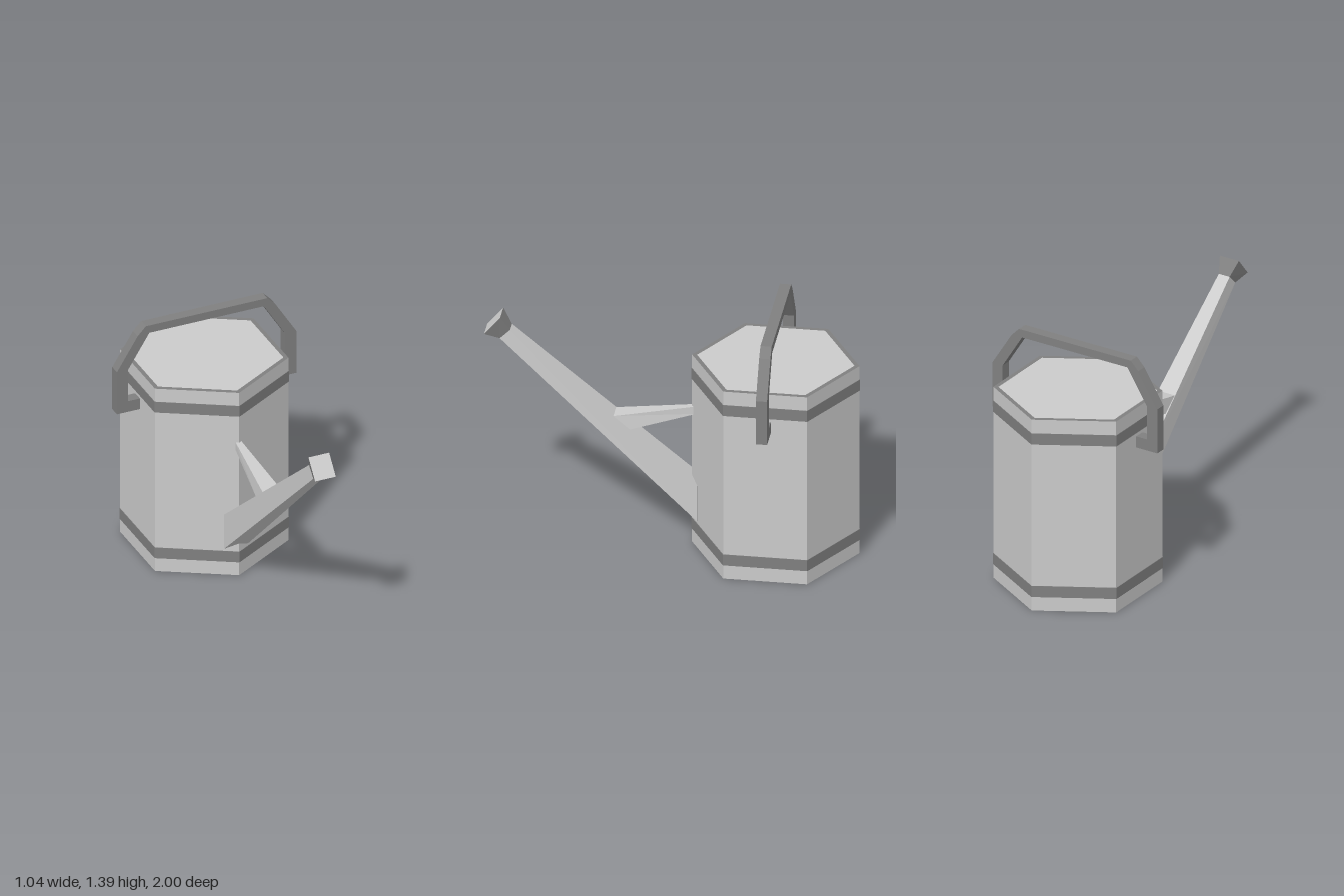
import * as THREE from 'three';

const light = new THREE.MeshStandardMaterial({ color: 0xcccccc, flatShading: true });
const dark = new THREE.MeshStandardMaterial({ color: 0x808080, flatShading: true });

const BODY_Z = -0.55, BODY_R = 0.447, RIM_R = 0.42, HEIGHT = 1.12;

// Hexagonal surface turned from [radius, height] points, with corners on the z axis
function hexLathe(points) {
  return new THREE.LatheGeometry(points.map(([r, y]) => new THREE.Vector2(r, y)), 6);
}

// Four-sided tapered bar between two sections { lo: [z, y], hi: [z, y], w: half width }
function taper(back, front, capFront = true) {
  const corners = ({ lo, hi, w }) => [
    [-w, lo[1], lo[0]], [w, lo[1], lo[0]], [w, hi[1], hi[0]], [-w, hi[1], hi[0]],
  ];
  const positions = [...corners(back), ...corners(front)].flat();
  const index = [0, 2, 1, 0, 3, 2];
  for (let i = 0; i < 4; i++) {
    const j = (i + 1) % 4;
    index.push(i, j, j + 4, i, j + 4, i + 4);
  }
  if (capFront) index.push(4, 5, 6, 4, 6, 7);
  return build(positions, index);
}

function build(positions, index) {
  const indexed = new THREE.BufferGeometry();
  indexed.setAttribute('position', new THREE.Float32BufferAttribute(positions, 3));
  indexed.setIndex(index);
  const g = indexed.toNonIndexed();
  g.computeVertexNormals();
  return g;
}

export function createModel() {
  const model = new THREE.Group();
  model.name = 'wateringCan';
  const add = (name, geometry, material, z = 0) => {
    const mesh = new THREE.Mesh(geometry, material);
    mesh.name = name;
    mesh.position.z = z;
    model.add(mesh);
  };

  // Hexagonal body, rim and lid
  add('body', hexLathe([[0, 0], [BODY_R, 0], [BODY_R, HEIGHT]]), light, BODY_Z);
  add('rim', hexLathe([[BODY_R, HEIGHT], [RIM_R, HEIGHT]]), dark, BODY_Z);
  add('lid', hexLathe([[RIM_R, HEIGHT], [0, HEIGHT]]), light, BODY_Z);

  // Bands around the body
  for (const [name, y0, y1] of [['lowerBand', 0.08, 0.145], ['upperBand', 0.975, 1.04]]) {
    add(name, hexLathe([[BODY_R - 0.01, y0], [0.45, y0], [0.45, y1], [BODY_R - 0.01, y1]]), dark, BODY_Z);
  }

  // Angular handle: one half of the outline, mirrored to the other side
  const outer = [[0.38, 0.89], [0.52, 0.89], [0.52, 1.148], [0.4, 1.34], [0.352, 1.39]];
  const inner = [[0.332, 1.345], [0.455, 1.148], [0.455, 0.955], [0.38, 0.955]];
  const mirror = (pts) => pts.map(([x, y]) => [-x, y]).reverse();
  const outline = [...outer, ...mirror(outer), ...mirror(inner), ...inner];
  const handle = new THREE.ExtrudeGeometry(
    new THREE.Shape(outline.map(([x, y]) => new THREE.Vector2(x, y))),
    { depth: 0.06, bevelEnabled: false },
  );
  add('handle', handle, dark, BODY_Z - 0.03);

  // Spout, its brace and the flared nozzle
  const root = { lo: [-0.14, 0.16], hi: [-0.14, 0.37], w: 0.07 };
  const tip = { lo: [0.92, 1.155], hi: [0.865, 1.21], w: 0.034 };
  const mouth = { lo: [1.0, 1.188], hi: [0.915, 1.29], w: 0.06 };
  add('spout', taper(root, tip), light);
  add('spoutBrace', taper(
    { lo: [-0.13, 0.774], hi: [-0.13, 0.818], w: 0.015 },
    { lo: [0.225, 0.67], hi: [0.31, 0.745], w: 0.051 },
  ), light);
  add('nozzle', taper(tip, mouth, false), dark);

  // Flat face closing the nozzle
  const { lo, hi, w } = mouth;
  add('nozzleFace', build(
    [-w, lo[1], lo[0], w, lo[1], lo[0], w, hi[1], hi[0], -w, hi[1], hi[0]],
    [0, 1, 2, 0, 2, 3],
  ), light);

  return model;
}
